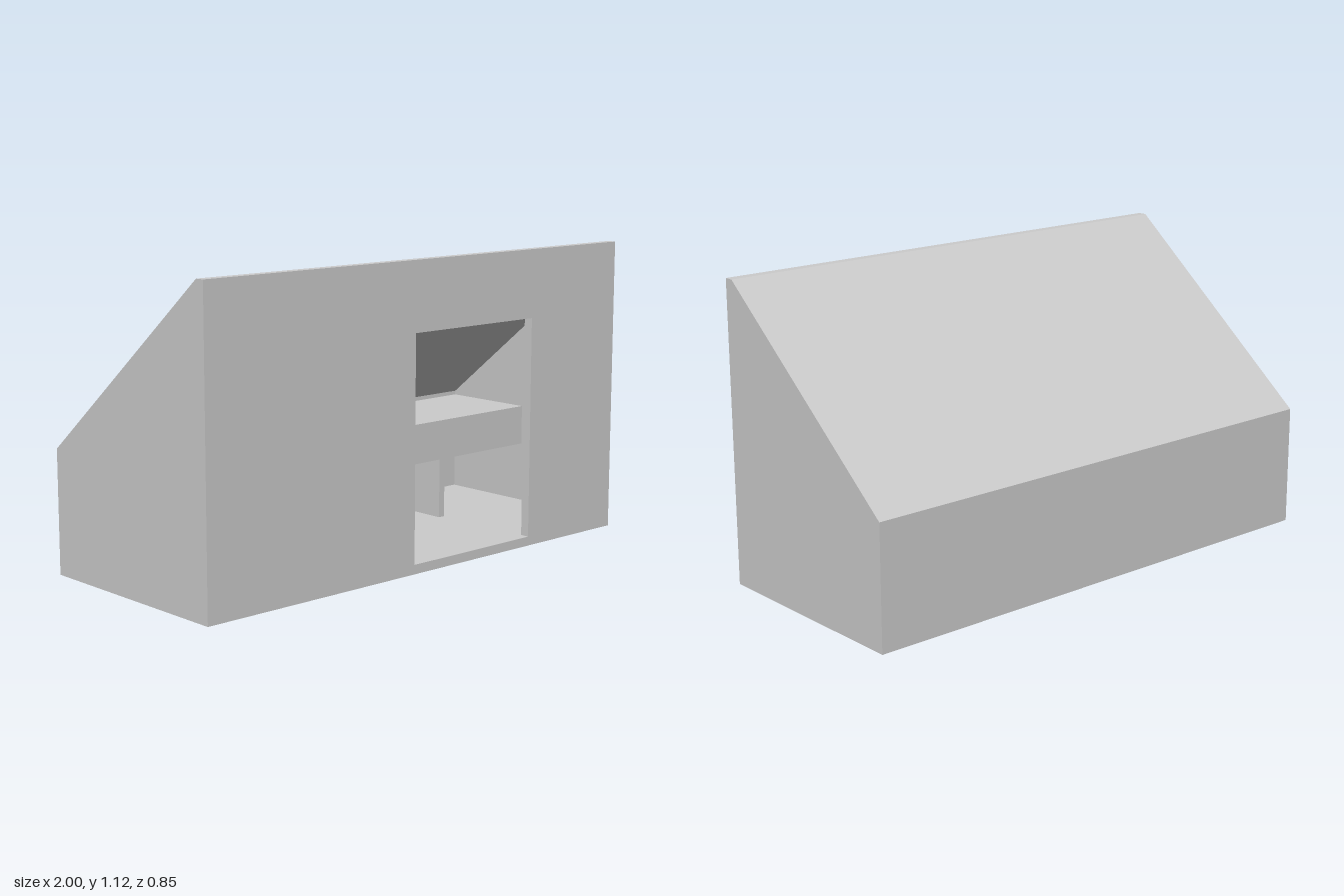
import * as THREE from 'three';

const T = 0.035;              // wall thickness
const W = 1, D = 0.423;       // half width, half depth
const TOP = 1.12, EAVE = 0.457;
const FRONT_IN = D - T, BACK_IN = -D + T;

// Height of the outer roof surface at a given z
const roofY = z => EAVE + (TOP - EAVE) * (z + D) / (FRONT_IN + D);

export function createModel() {
  const group = new THREE.Group();
  const material = new THREE.MeshStandardMaterial({ color: 0xcccccc, flatShading: true });

  const add = (name, geometry) => {
    const mesh = new THREE.Mesh(geometry, material);
    mesh.name = name;
    group.add(mesh);
    return mesh;
  };

  const box = (name, x0, x1, y0, y1, z0, z1) =>
    add(name, new THREE.BoxGeometry(x1 - x0, y1 - y0, z1 - z0))
      .position.set((x0 + x1) / 2, (y0 + y1) / 2, (z0 + z1) / 2);

  // Extrude a [z, y] side profile along x
  const profile = (name, points, x0, x1) => {
    const shape = new THREE.Shape(points.map(p => new THREE.Vector2(...p)));
    const mesh = add(name, new THREE.ExtrudeGeometry(shape, { depth: x1 - x0, bevelEnabled: false }));
    mesh.rotation.y = -Math.PI / 2;
    mesh.position.x = x1;
  };

  // Front wall with the tall opening
  const wall = new THREE.Shape([[-W, 0], [W, 0], [W, TOP], [-W, TOP]].map(p => new THREE.Vector2(...p)));
  wall.holes.push(new THREE.Path(
    [[-0.07, T], [-0.07, 0.865], [0.53, 0.865], [0.53, T]].map(p => new THREE.Vector2(...p))));
  add('frontWall', new THREE.ExtrudeGeometry(wall, { depth: T, bevelEnabled: false })).position.z = FRONT_IN;

  // Side walls
  const side = [[-D, 0], [FRONT_IN, 0], [FRONT_IN, TOP], [-D, EAVE]];
  profile('leftWall', side, W - T, W);
  profile('rightWall', side, -W, -W + T);

  // Floor, back wall and sloping roof
  const X = W - T, drop = 0.045;
  box('floor', -X, X, 0, T, -D, FRONT_IN);
  profile('backWall', [[-D, T], [BACK_IN, T], [BACK_IN, roofY(BACK_IN) - drop], [-D, EAVE - drop]], -X, X);
  const band = (a, b) => [[-D, EAVE - b], [FRONT_IN, TOP - b], [FRONT_IN, TOP - a], [-D, EAVE - a]];
  profile('roof', band(0, drop), -X, X);

  // Thin lining under one half of the roof
  profile('roofLining', [[BACK_IN, roofY(BACK_IN) - drop - 0.015], [FRONT_IN, TOP - drop - 0.015],
    [FRONT_IN, TOP - drop], [BACK_IN, roofY(BACK_IN) - drop]], -X, 0);

  // Raised deep platform along the back, carried on short upright panels
  box('platform', -X, X, 0.27, 0.425, BACK_IN, -0.01);
  for (const x of [-0.535, -0.01, 0.515]) {
    box('platformSupport', x - 0.014, x + 0.014, T, 0.27, -0.185, -0.02);
  }

  return group;
}
